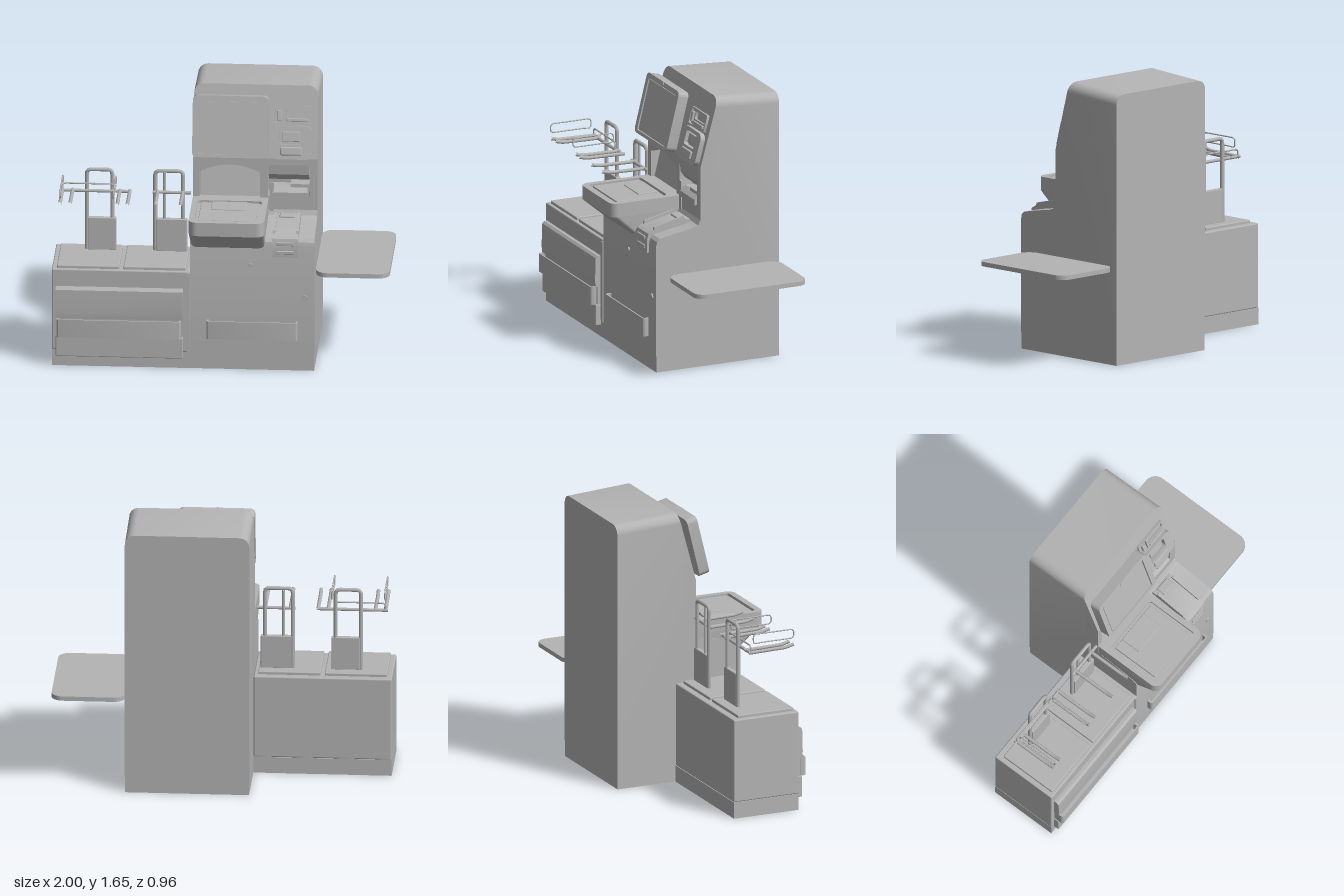
import * as THREE from 'three';
import { toCreasedNormals } from 'three/addons/utils/BufferGeometryUtils.js';
import { RoundedBoxGeometry } from 'three/addons/geometries/RoundedBoxGeometry.js';

const grey = new THREE.MeshStandardMaterial({ color: 0xb4b4b4 });
grey.name = 'plain grey';

function add(parent, name, geo) {
  const m = new THREE.Mesh(geo, grey);
  m.name = name;
  parent.add(m);
  return m;
}

// box given by its limits, with optional rounded edges
function box(parent, name, x0, x1, y0, y1, z0, z1, r = 0) {
  const w = x1 - x0, h = y1 - y0, d = z1 - z0;
  const g = r ? new RoundedBoxGeometry(w, h, d, 3, r) : new THREE.BoxGeometry(w, h, d);
  g.translate((x0 + x1) / 2, (y0 + y1) / 2, (z0 + z1) / 2);
  return add(parent, name, g);
}

// rounded rectangle path
function rounded(x0, x1, y0, y1, r, P = THREE.Shape) {
  const s = new P();
  s.moveTo(x0 + r, y0);
  s.lineTo(x1 - r, y0); s.absarc(x1 - r, y0 + r, r, -Math.PI / 2, 0);
  s.lineTo(x1, y1 - r); s.absarc(x1 - r, y1 - r, r, 0, Math.PI / 2);
  s.lineTo(x0 + r, y1); s.absarc(x0 + r, y1 - r, r, Math.PI / 2, Math.PI);
  s.lineTo(x0, y0 + r); s.absarc(x0 + r, y0 + r, r, Math.PI, Math.PI * 1.5);
  return s;
}

const extrude = (shape, depth, steps = 1) =>
  new THREE.ExtrudeGeometry(shape, { depth, steps, bevelEnabled: false, curveSegments: 8 });

// upright plate facing +z
function plate(parent, name, shape, z0, z1) {
  return add(parent, name, toCreasedNormals(extrude(shape, z1 - z0).translate(0, 0, z0), 0.6));
}

// flat slab; the shape holds (x, -z)
function slab(parent, name, shape, y0, y1) {
  return add(parent, name, toCreasedNormals(extrude(shape, y1 - y0).rotateX(-Math.PI / 2).translate(0, y0, 0), 0.6));
}

// side profile of (z, y) points swept across x
function profile(parent, name, pts, x0, x1) {
  const s = new THREE.Shape(pts.map(p => new THREE.Vector2(...p)));
  return add(parent, name, toCreasedNormals(extrude(s, x1 - x0).rotateY(-Math.PI / 2).translate(x1, 0, 0), 0.5));
}

// bent rod with tightly rounded corners
function rod(parent, name, pts, r, closed = false) {
  const v = pts.map(p => new THREE.Vector3(...p)), path = new THREE.CurvePath(), n = v.length;
  const cut = (a, b) => a.clone().add(b.clone().sub(a).setLength(Math.min(0.025, a.distanceTo(b) * 0.45)));
  let start = closed ? cut(v[0], v[1]) : v[0];
  for (let i = 1; i < (closed ? n + 1 : n - 1); i++) {
    const a = v[i - 1], b = v[i % n], c = v[(i + 1) % n];
    path.add(new THREE.LineCurve3(start, cut(b, a)));
    path.add(new THREE.QuadraticBezierCurve3(cut(b, a), b, cut(b, c)));
    start = cut(b, c);
  }
  if (!closed) path.add(new THREE.LineCurve3(start, v[n - 1]));
  return add(parent, name, new THREE.TubeGeometry(path, 70, r, 8, closed));
}

function button(parent, name, x, y, z, r) {
  return add(parent, name, new THREE.CylinderGeometry(r, r, 0.012, 20).rotateX(Math.PI / 2).translate(x, y, z));
}

// pull handle: bowed strip standing off the panel, closed below
function handle(parent, x0, x1, z0, z1) {
  const s = rounded(x0, x1, -z1, -z0, 0.014);
  s.holes.push(rounded(x0 + 0.012, x1 - 0.012, -z1 + 0.008, -z0 - 0.002, 0.008, THREE.Path));
  slab(parent, 'handleStrip', s, 0.2, 0.312);
  box(parent, 'handleFloor', x0 + 0.006, x1 - 0.006, 0.2, 0.215, z0, z1 - 0.004);
}

function mainCabinet(root) {
  const g = new THREE.Group(); g.name = 'mainCabinet'; root.add(g);
  const X0 = -0.18, X1 = 0.56, R = 0.06, N = 6;
  // tower body, its top side edges rounded by a rule
  const pts = [[-0.48, 0.1], [0.325, 0.1], [0.325, 0.78], [0.318, 0.81], [0.3, 0.828], [0.2, 0.848], [0.08, 0.868],
    [0.05, 0.88], [0.035, 0.91], [-0.05, 0.91], [-0.05, 1.23], [0.035, 1.23], [-0.08, 1.655], [-0.48, 1.63]];
  const geo = extrude(new THREE.Shape(pts.map(p => new THREE.Vector2(...p))), 1, 2 * N + 1);
  const p = geo.attributes.position;
  for (let i = 0; i < p.count; i++) {
    const k = Math.round(p.getZ(i) * (2 * N + 1));
    const left = k <= N, a = (left ? k : 2 * N + 1 - k) / N * Math.PI / 2;
    const inset = R * (1 - Math.cos(a)), z = p.getX(i), y = p.getY(i);
    const drop = y > 1.5 ? R * (1 - Math.sin(a)) : 0;
    p.setXYZ(i, left ? X1 - inset : X0 + inset, y - drop, z + (z > -0.2 ? drop * 0.27 : 0));
  }
  add(g, 'towerBody', toCreasedNormals(geo, 0.5));
  profile(g, 'plinth', [[-0.478, 0], [0.322, 0], [0.322, 0.1], [-0.478, 0.1]], X0 + 0.002, X1 - 0.002);

  // upright face with a scanner window and a receipt opening
  const face = new THREE.Shape([[X0, 0.9], [X1, 0.9], [X1, 1.23], [X0, 1.23]].map(q => new THREE.Vector2(...q)));
  const win = new THREE.Path();
  win.moveTo(-0.14, 0.96); win.lineTo(0.22, 0.96); win.lineTo(0.22, 1.14);
  win.quadraticCurveTo(0.04, 1.235, -0.14, 1.14); win.lineTo(-0.14, 0.96);
  face.holes.push(win, rounded(0.265, 0.515, 0.985, 1.19, 0.025, THREE.Path));
  plate(g, 'uprightFace', face, -0.05, 0.035);
  profile(g, 'scannerWindow', [[-0.05, 0.95], [0.02, 0.95], [-0.04, 1.2], [-0.05, 1.2]], -0.135, 0.215);
  profile(g, 'receiptHood', [[-0.05, 1.1], [0.0, 1.09], [0.03, 1.13], [0.035, 1.19], [-0.05, 1.19]], 0.27, 0.51);
  profile(g, 'receiptPrinter', [[-0.05, 0.985], [0.045, 0.985], [0.045, 1.02], [0.01, 1.05], [-0.05, 1.05]], 0.29, 0.5);
  box(g, 'receiptSlot', 0.4, 0.51, 1.05, 1.07, -0.05, 0.03);

  // sloping face units
  const s = new THREE.Group(); s.name = 'slopingUnits';
  s.position.set(0, 1.23, 0.035); s.rotation.x = -0.264; g.add(s);
  const reader = rounded(0.295, 0.515, 0.205, 0.315, 0.01);
  reader.holes.push(rounded(0.305, 0.36, 0.215, 0.305, 0.005, THREE.Path), rounded(0.37, 0.505, 0.255, 0.3, 0.005, THREE.Path));
  plate(s, 'cardReader', reader, 0, 0.016);
  box(s, 'cardSlot', 0.32, 0.345, 0.23, 0.29, 0, 0.022, 0.004);
  box(s, 'cardLip', 0.375, 0.505, 0.225, 0.245, 0, 0.028, 0.004);
  const pad = rounded(0.28, 0.53, 0.0, 0.198, 0.04);
  pad.holes.push(rounded(0.335, 0.47, 0.09, 0.18, 0.012, THREE.Path));
  plate(s, 'noteUnit', pad, 0, 0.03);
  box(s, 'noteMouth', 0.35, 0.455, 0.105, 0.165, 0, 0.018, 0.005);
  box(s, 'noteLip', 0.34, 0.47, 0.025, 0.075, 0.02, 0.042, 0.008);

  // coin tray lying over the step and its front edge
  profile(g, 'coinTray', [[0.06, 0.86], [0.06, 0.895], [0.1, 0.9], [0.3, 0.853], [0.33, 0.835], [0.34, 0.8], [0.34, 0.72], [0.3, 0.72], [0.3, 0.81]], 0.31, 0.465);
  for (const x of [0.31, 0.45]) profile(g, 'coinTrayRail', [[0.09, 0.89], [0.1, 0.917], [0.29, 0.872], [0.3, 0.84]], x, x + 0.015);
  box(g, 'coinCup', 0.34, 0.435, 0.88, 0.905, 0.07, 0.13, 0.008);
  for (const y of [0.74, 0.795]) box(g, 'coinTrayLabelPlate', 0.335, 0.44, y, y + 0.022, 0.335, 0.347, 0.004);
  box(g, 'stepPanel', 0.275, 0.3, 0.9, 1.08, 0.03, 0.042);

  // lower front fittings
  handle(g, -0.08, 0.46, 0.322, 0.362);
  button(g, 'lock', 0.505, 0.46, 0.328, 0.018);
  button(g, 'doorStud', 0.18, 0.66, 0.328, 0.013);
}

function monitor(root) {
  const g = new THREE.Group(); g.name = 'monitor'; root.add(g);
  g.position.set(0.045, 1.443, 0.082); g.rotation.x = -0.24;
  plate(g, 'monitorBack', rounded(-0.225, 0.225, -0.185, 0.185, 0.03), -0.066, -0.012);
  const bezel = rounded(-0.225, 0.225, -0.185, 0.185, 0.03);
  bezel.holes.push(rounded(-0.192, 0.19, -0.165, 0.155, 0.008, THREE.Path));
  plate(g, 'monitorBezel', bezel, -0.012, 0);
  box(g, 'screen', -0.186, 0.184, -0.16, 0.15, -0.012, -0.005);
  button(g, 'camera', -0.005, 0.17, -0.002, 0.016);
  box(g, 'monitorMount', -0.12, 0.12, -0.1, 0.1, -0.13, -0.066);
}

function scanTray(root) {
  const g = new THREE.Group(); g.name = 'scanTray'; root.add(g);
  const outline = () => rounded(-0.18, 0.27, -0.48, 0, 0.05);
  const z0 = 0.03;
  // underside tapers back toward the cabinet
  const under = extrude(outline(), 0.125).rotateX(-Math.PI / 2).translate(0, 0.772, 0);
  const p = under.attributes.position;
  for (let i = 0; i < p.count; i++) {
    if (p.getY(i) < 0.8) p.setXYZ(i, 0.045 + (p.getX(i) - 0.045) * 0.97, p.getY(i), z0 + (p.getZ(i) - z0) * 0.67);
  }
  add(g, 'trayUnderside', toCreasedNormals(under, 0.6));
  slab(g, 'trayBody', outline(), 0.897, 0.965);
  const rim = outline();
  rim.holes.push(rounded(-0.145, 0.235, -0.44, -0.1, 0.02, THREE.Path));
  slab(g, 'trayRim', rim, 0.965, 0.982);
  box(g, 'scanPlate', -0.125, 0.215, 0.96, 0.978, 0.12, 0.42, 0.004);
  box(g, 'scanGlass', -0.06, 0.15, 0.97, 0.984, 0.12, 0.25, 0.004);
}

function baggingCabinet(root) {
  const g = new THREE.Group(); g.name = 'baggingCabinet'; root.add(g);
  box(g, 'cabinetBody', -1, -0.18, 0.1, 0.61, -0.1, 0.325, 0.008);
  box(g, 'cabinetPlinth', -1, -0.18, 0, 0.1, -0.1, 0.323);
  for (const x of [-0.97, -0.575]) {
    box(g, 'weighingPlate', x, x + 0.37, 0.605, 0.628, -0.06, 0.305, 0.006);
  }
  // drawer front with three bands
  box(g, 'drawerLower', -0.975, -0.22, 0.07, 0.2, 0.32, 0.358, 0.006);
  box(g, 'drawerMiddle', -0.97, -0.225, 0.2, 0.315, 0.32, 0.345);
  profile(g, 'drawerUpper', [[0.32, 0.312], [0.358, 0.312], [0.362, 0.35], [0.358, 0.49], [0.345, 0.503], [0.32, 0.503]], -0.975, -0.22);
  handle(g, -0.97, -0.23, 0.34, 0.386);
  box(g, 'sideTrim', -0.2, -0.18, 0.1, 0.6, 0.32, 0.332);
}

function bagHolder(root, x0, x1, barL, barR, arms) {
  const g = new THREE.Group(); g.name = 'bagHolder'; root.add(g);
  const z = 0.015;
  rod(g, 'holderFrame', [[x0, 0.62, z], [x0, 1.13, z], [x1, 1.13, z], [x1, 0.62, z]], 0.012);
  box(g, 'holderPlate', x0 + 0.005, x1 + 0.025, 0.625, 0.83, z - 0.012, z + 0.018, 0.005);
  rod(g, 'crossBar', [[barL, 1.0, z + 0.015], [(barL + barR) / 2, 1.0, z + 0.015], [barR, 1.0, z + 0.015]], 0.01);
  // arms reach forward with slightly raised tips
  for (const x of arms) rod(g, 'bagArm', [[x, 1.0, z], [x, 1.005, 0.26], [x, 1.018, 0.31]], 0.011);
}

export function createModel() {
  const root = new THREE.Group();
  root.name = 'selfCheckout';
  mainCabinet(root);
  monitor(root);
  scanTray(root);
  baggingCabinet(root);

  bagHolder(root, -0.81, -0.66, -0.97, -0.55, [-0.955, -0.895, -0.615, -0.555]);
  bagHolder(root, -0.405, -0.24, -0.42, -0.19, [-0.39, -0.24]);
  rod(root, 'holderStay', [[-0.35, 0.83, 0.015], [-0.35, 1.0, 0.015], [-0.35, 1.12, 0.015]], 0.009);
  // thin wire loops for hanging bags
  rod(root, 'wireBar', [[-0.955, 1.0, 0.03], [-0.955, 1.045, 0.03], [-0.65, 1.045, 0.03], [-0.65, 1.0, 0.03]], 0.005);
  for (const x of [-0.95, -0.635]) {
    rod(root, 'wireLoop', [[x, 1.05, 0.05], [x, 1.11, 0.05], [x, 1.11, 0.315], [x, 1.055, 0.315], [x, 1.055, 0.1]], 0.004, true);
  }

  // side shelf
  slab(root, 'sideShelf', rounded(0.562, 1, -0.255, 0.47, 0.07), 0.568, 0.595);
  box(root, 'shelfBracket', 0.55, 0.6, 0.57, 0.592, -0.38, 0.17);
  return root;
}
